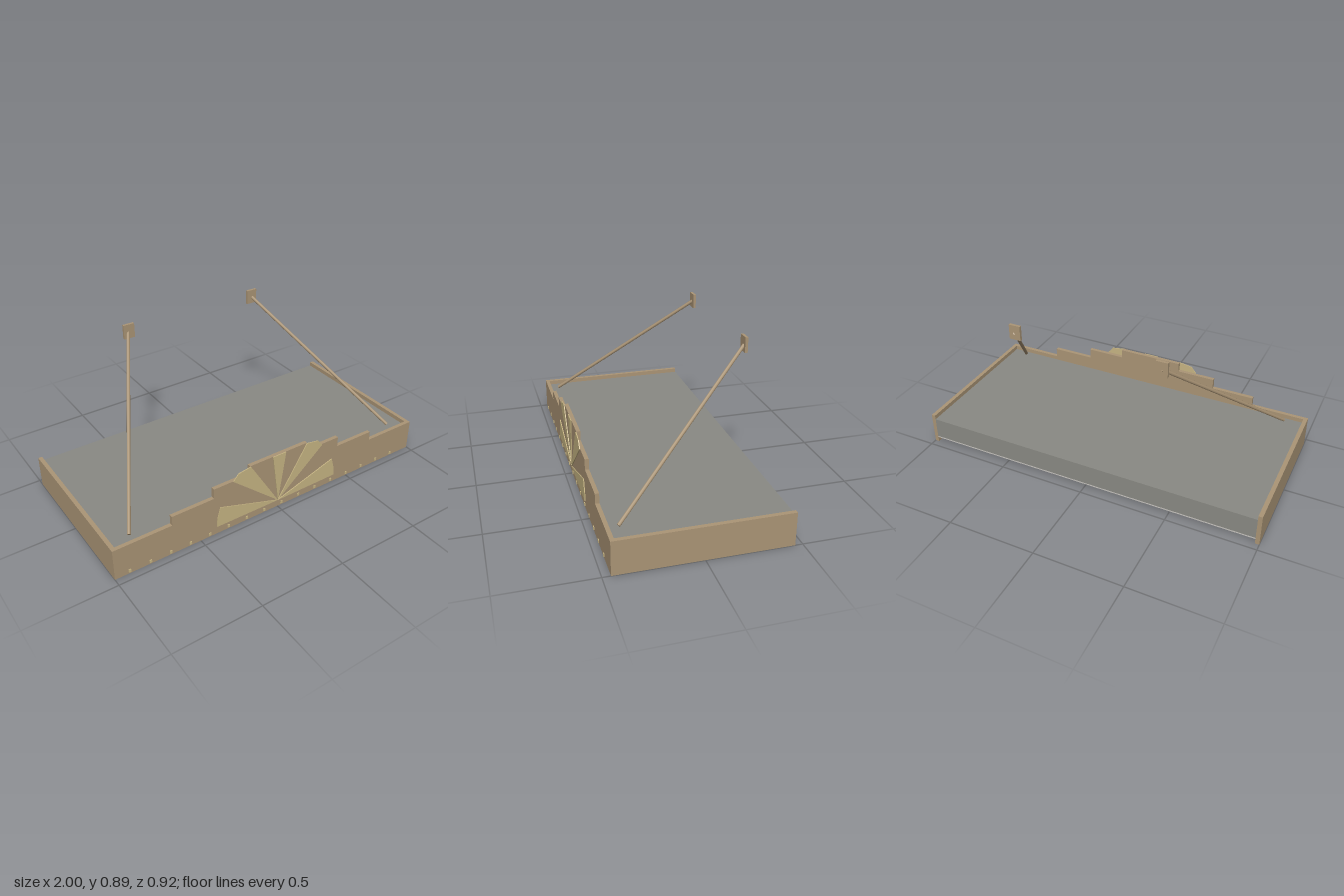
import * as THREE from 'three';

const mat = (name, color) => {
  const m = new THREE.MeshStandardMaterial({ color });
  m.name = name;
  return m;
};

export function createModel() {
  const model = new THREE.Group();
  model.name = 'canopy';
  const bronze = mat('bronze', 0xab9576);
  const cream = mat('cream', 0xc8b684);
  const roofGrey = mat('roofGrey', 0x8a8a84);
  const soffitGrey = mat('soffitGrey', 0xc8c5c0);

  const add = (name, geometry, material, x = 0, y = 0, z = 0) => {
    const mesh = new THREE.Mesh(geometry, material);
    mesh.name = name;
    mesh.position.set(x, y, z);
    model.add(mesh);
    return mesh;
  };
  const box = (name, material, w, h, d, x, y, z) =>
    add(name, new THREE.BoxGeometry(w, h, d), material, x, y, z);
  const plate = (name, material, points, depth, z) => {
    const shape = new THREE.Shape(points.map(([x, y]) => new THREE.Vector2(x, y)));
    return add(name, new THREE.ExtrudeGeometry(shape, { depth, bevelEnabled: false }), material, 0, 0, z);
  };

  // Roof slab and its pale lining
  box('roofSlab', roofGrey, 1.954, 0.122, 0.895, 0, 0.099, -0.0125);
  box('soffit', soffitGrey, 1.954, 0.008, 0.895, 0, 0.034, -0.0125);

  // Stepped front fascia
  const steps = [[1, 0], [1, 0.185], [0.665, 0.185], [0.665, 0.24], [0.415, 0.24],
    [0.415, 0.3], [0.19, 0.3], [0.19, 0.352]];
  const mirrored = steps.map(([x, y]) => [-x, y]).reverse();
  plate('frontFascia', bronze, [...steps, ...mirrored], 0.022, 0.435);

  // Sunburst rays
  const tip = [0, 0.045];
  const rays = [
    [tip, [0.4, 0.048], [0.397, 0.1], [0.378, 0.168]],
    [tip, [0.297, 0.3], [0.265, 0.338], [0.187, 0.35]],
  ];
  plate('centreRay', cream, [tip, [0.043, 0.352], [-0.043, 0.352]], 0.005, 0.457);

  for (const side of [1, -1]) {
    for (const ray of rays) {
      const points = ray.map(([x, y]) => [x * side, y]);
      plate('sunRay', cream, points, 0.005, 0.457);
    }
    box('sideFascia', bronze, 0.023, 0.185, 0.895, side * 0.9885, 0.0925, -0.0125);

    // Slanted tie rod and its wall plate
    const low = new THREE.Vector3(side * 0.873, 0.18, 0.389);
    const high = new THREE.Vector3(side * 0.413, 0.846, -0.392);
    const along = high.clone().sub(low);
    const rod = add('tieRod', new THREE.CylinderGeometry(0.01, 0.01, along.length(), 8), bronze);
    rod.position.copy(low).add(high).multiplyScalar(0.5);
    rod.quaternion.setFromUnitVectors(new THREE.Vector3(0, 1, 0), along.normalize());
    box('wallPlate', bronze, 0.065, 0.083, 0.015, side * 0.412, 0.847, -0.388);
  }

  // Small studs along the lower front edge
  for (let i = 0; i < 16; i++) {
    box('edgeStud', cream, 0.013, 0.017, 0.005, -0.917 + i * 0.118, 0.018, 0.459);
  }

  // Round lights under the roof
  for (const x of [-0.68, -0.227, 0.227, 0.68]) {
    for (const z of [-0.14, 0.2]) {
      add('downlight', new THREE.CylinderGeometry(0.037, 0.037, 0.012, 16), cream, x, 0.026, z);
    }
  }
  return model;
}
